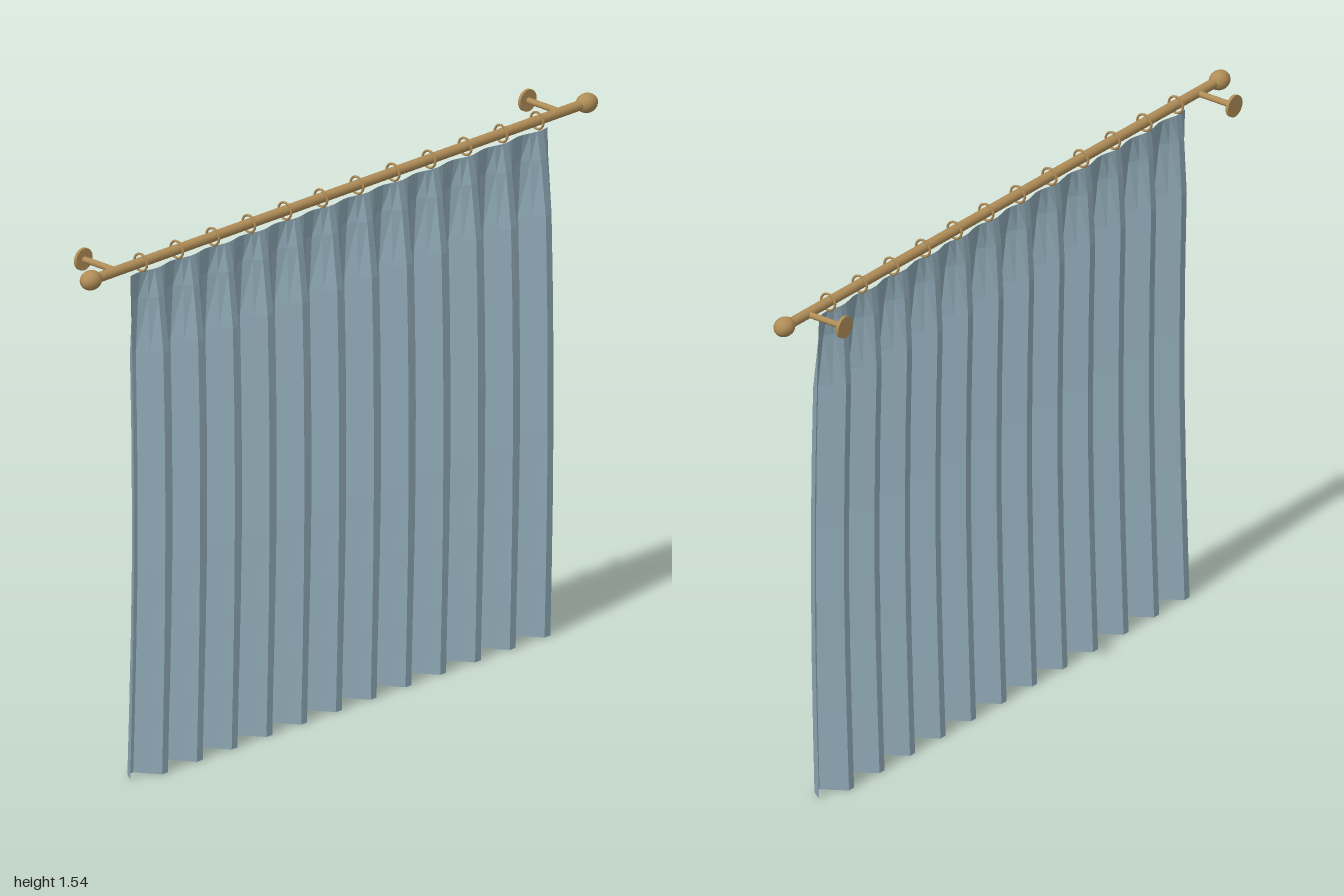
import * as THREE from 'three';

const ROD_Y = 1.51, ROD_Z = 0.045;

// Pleated cloth: a sampled wave whose depth tapers into the heading
function curtainGeometry() {
  const pleats = 12, cols = pleats * 6, width = 1.625;
  const rows = [0, 0.2, 0.4, 0.6, 0.8, 1.02, 1.24, 1.4, 1.48];
  const depth = [0.039, 0.038, 0.037, 0.036, 0.036, 0.036, 0.036, 0.02, 0.006];
  const pos = [], index = [];
  rows.forEach((y, r) => {
    const middle = 0.045 + 0.015 * Math.sin(Math.PI * y / 1.48);
    for (let c = 0; c <= cols; c++) {
      const wave = Math.sin(c / 6 * Math.PI * 2);
      pos.push((c / cols - 0.5) * width, y, middle - depth[r] * wave);
    }
  });
  for (let r = 0; r < rows.length - 1; r++) {
    for (let c = 0; c < cols; c++) {
      const a = r * (cols + 1) + c, b = a + cols + 1;
      index.push(a, a + 1, b + 1, a, b + 1, b);
    }
  }
  const g = new THREE.BufferGeometry();
  g.setAttribute('position', new THREE.Float32BufferAttribute(pos, 3));
  g.setIndex(index);
  g.computeVertexNormals();
  return g;
}

export function createModel() {
  const model = new THREE.Group();
  const brass = new THREE.MeshStandardMaterial({ color: 0xb08d57 });
  brass.name = 'brass';
  const cloth = new THREE.MeshStandardMaterial({ color: 0x8ea8b5, side: THREE.DoubleSide, flatShading: true });
  cloth.name = 'blue grey cloth';

  const add = (name, geometry, material, x, y, z) => {
    const mesh = new THREE.Mesh(geometry, material);
    mesh.name = name;
    mesh.position.set(x, y, z);
    model.add(mesh);
    return mesh;
  };

  add('curtain', curtainGeometry(), cloth, 0, 0, 0);

  // Rod
  const rod = new THREE.CylinderGeometry(0.0145, 0.0145, 1.92, 20).rotateZ(Math.PI / 2);
  add('rod', rod, brass, 0, ROD_Y, ROD_Z);

  // Finials and wall brackets at both ends
  const finial = new THREE.SphereGeometry(0.028, 20, 14).scale(1.2, 1, 1);
  const arm = new THREE.CylinderGeometry(0.009, 0.009, 0.13, 14).rotateX(Math.PI / 2);
  const plate = new THREE.CylinderGeometry(0.032, 0.032, 0.009, 24).rotateX(Math.PI / 2);
  for (const [side, s] of [['left', 1], ['right', -1]]) {
    add(side + 'Finial', finial, brass, s * 0.966, ROD_Y, ROD_Z);
    add(side + 'BracketArm', arm, brass, s * 0.865, ROD_Y, -0.02);
    add(side + 'WallPlate', plate, brass, s * 0.865, ROD_Y, -0.085);
  }

  // Rings along the rod
  const ring = new THREE.TorusGeometry(0.0245, 0.0035, 8, 24).rotateY(Math.PI / 2);
  for (let i = 0; i < 12; i++) {
    add('ring' + (i + 1), ring, brass, -0.772 + i * 1.544 / 11, ROD_Y, ROD_Z);
  }
  return model;
}
